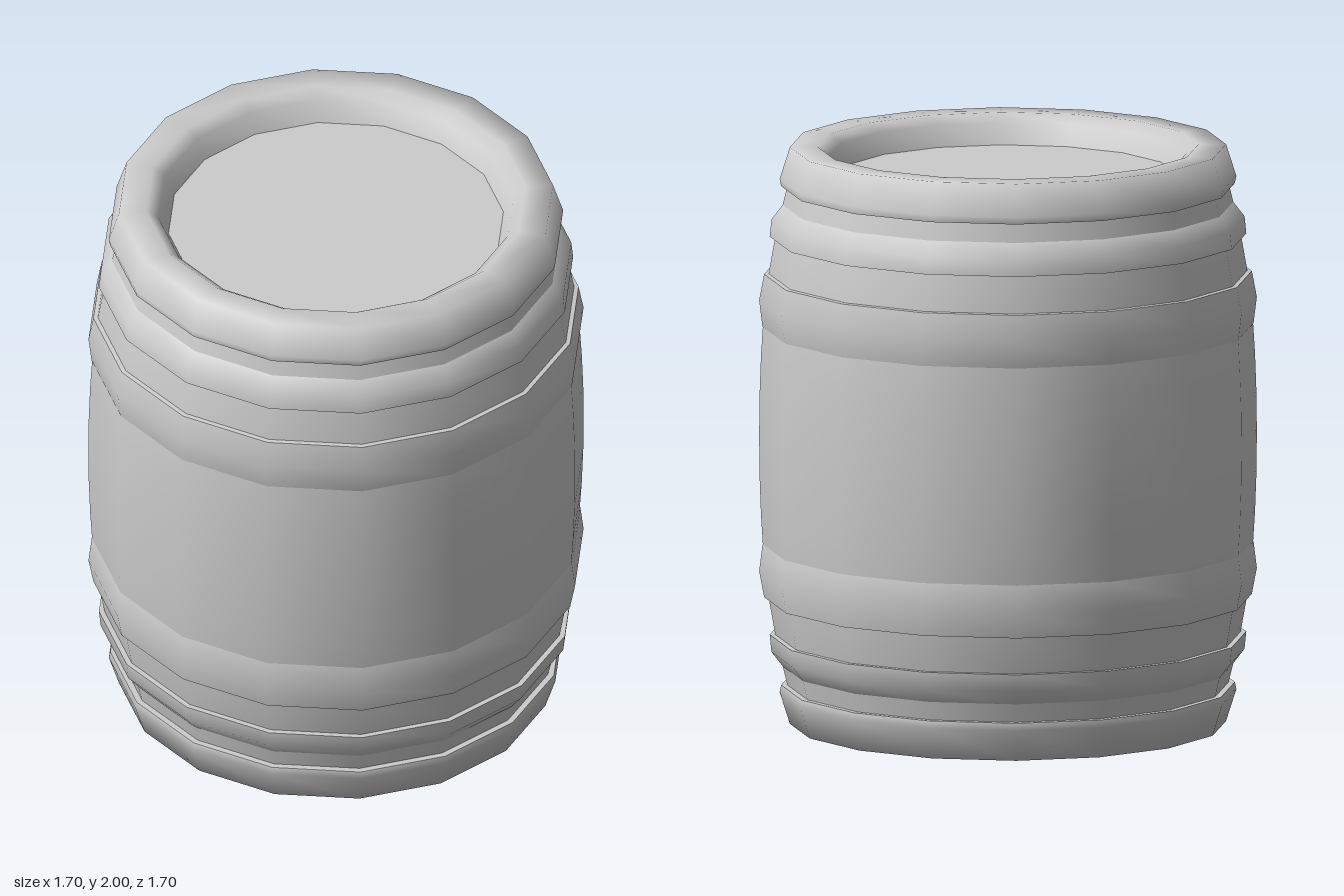
import * as THREE from 'three';

const SIDES = 16;
const HEIGHT = 2;
const material = new THREE.MeshStandardMaterial({ color: 0xcccccc });

// Upper profiles as [radius, y], listed upward along the outside.
// A repeated point keeps a hard edge there.
const rimProfile = [
  [0.752, 1.865], [0.775, 1.865], [0.775, 1.865], [0.78, 1.89], [0.745, 2],
  [0.65, 2], [0.61, 1.97], [0.575, 1.9],
];
const narrowHoopProfile = [
  [0.79, 1.69], [0.814, 1.69], [0.814, 1.69], [0.808, 1.75], [0.768, 1.802], [0.75, 1.802],
];
const wideHoopProfile = [
  [0.83, 1.36], [0.839, 1.38], [0.85, 1.47], [0.833, 1.56], [0.833, 1.56], [0.81, 1.563],
];
const bodyProfile = [
  [0.85, 1], [0.849, 1.13], [0.844, 1.27], [0.836, 1.4], [0.818, 1.56],
  [0.795, 1.69], [0.772, 1.79], [0.75, 1.88],
];

// The same profile at the other end of the barrel, still running upward
const mirror = (profile) => profile.map(([r, y]) => [r, HEIGHT - y]).reverse();

function addRing(group, name, profile) {
  const points = profile.map(([r, y]) => new THREE.Vector2(r, y));
  const mesh = new THREE.Mesh(new THREE.LatheGeometry(points, SIDES), material);
  mesh.name = name;
  group.add(mesh);
}

function addHead(group, name, y, facing) {
  const geometry = new THREE.CircleGeometry(0.575, SIDES);
  geometry.rotateX(-facing * Math.PI / 2);
  const mesh = new THREE.Mesh(geometry, material);
  mesh.name = name;
  mesh.position.y = y;
  group.add(mesh);
}

export function createModel() {
  const barrel = new THREE.Group();
  barrel.name = 'barrel';

  // Bulging body
  addRing(barrel, 'body', [...mirror(bodyProfile).slice(0, -1), ...bodyProfile]);

  // Rims and hoops, repeated at both ends
  const rings = { Rim: rimProfile, NarrowHoop: narrowHoopProfile, WideHoop: wideHoopProfile };
  for (const [name, profile] of Object.entries(rings)) {
    addRing(barrel, 'top' + name, profile);
    addRing(barrel, 'bottom' + name, mirror(profile));
  }

  // Recessed end discs
  addHead(barrel, 'topHead', 1.9, 1);
  addHead(barrel, 'bottomHead', 0.1, -1);

  return barrel;
}
